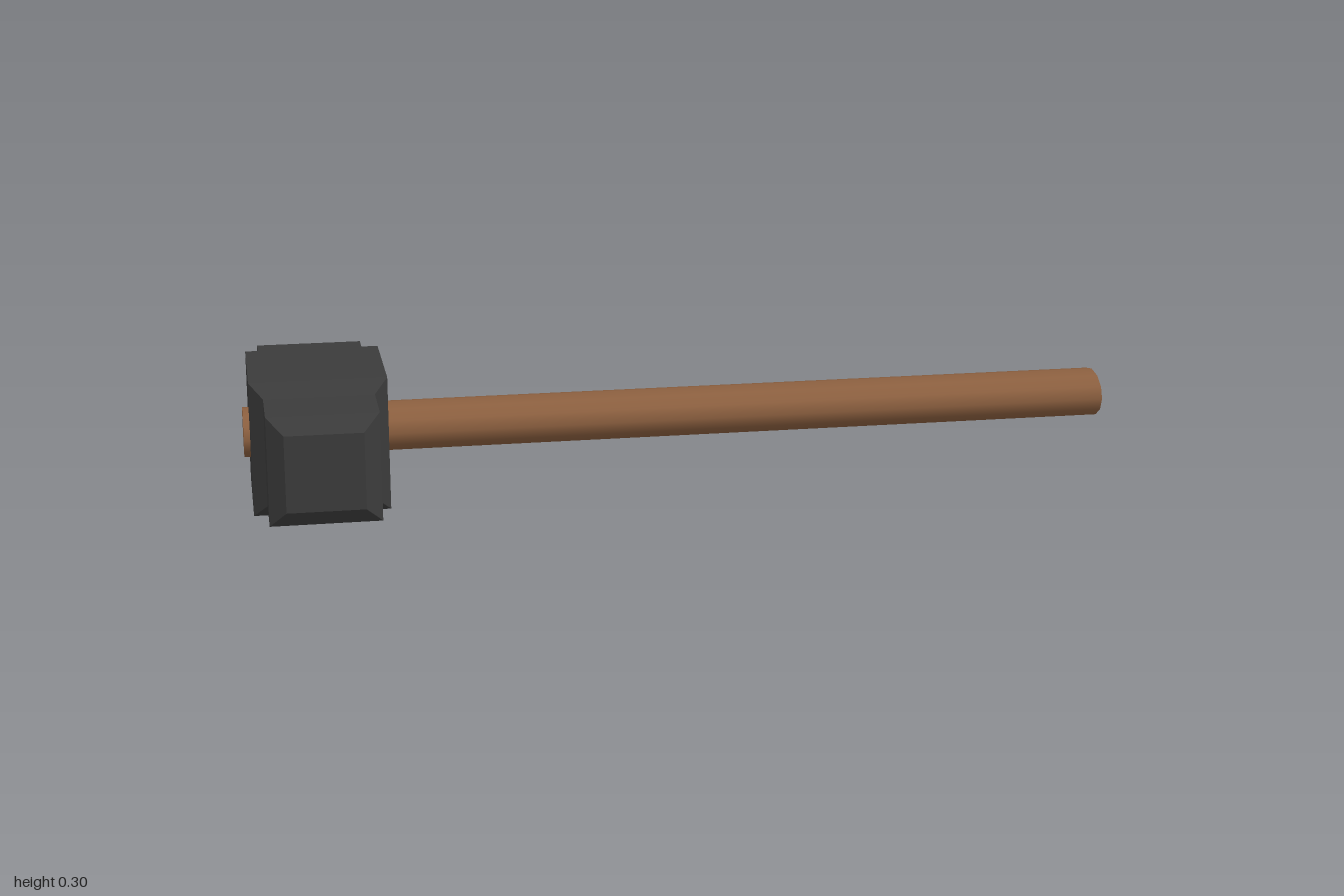
import * as THREE from 'three';

const HEAD_X = -0.835;
const AXIS_Y = 0.151;

// Square-section solid along z, from [half width, z] pairs
function squareSolid(profile) {
  const points = profile.map(([half, z]) => new THREE.Vector2(half * Math.SQRT2, z));
  const geometry = new THREE.LatheGeometry(points, 4, Math.PI / 4).rotateX(Math.PI / 2).toNonIndexed();
  geometry.computeVertexNormals(); // crisp flat faces
  return geometry;
}

export function createModel() {
  const iron = new THREE.MeshStandardMaterial({ color: 0x3b3b3b });
  iron.name = 'dark iron';
  const wood = new THREE.MeshStandardMaterial({ color: 0x8b5f3f });
  wood.name = 'brown wood';

  const model = new THREE.Group();
  model.name = 'sledgehammer';

  // Head: thick middle block, stepped down to two chamfered striking ends
  const half = [[0.151, 0.151], [0.121, 0.181], [0.121, 0.333], [0.085, 0.362], [0, 0.362]];
  const mirrored = half.map(([r, z]) => [r, -z]).reverse();
  const head = new THREE.Mesh(squareSolid([...mirrored, ...half]), iron);
  head.name = 'head';
  head.position.set(HEAD_X, AXIS_Y, 0);
  model.add(head);

  // Handle: oval shaft running through the head
  const shaft = new THREE.CylinderGeometry(1, 1, 2, 12).rotateZ(Math.PI / 2);
  shaft.scale(1, 0.055, 0.079);
  const handle = new THREE.Mesh(shaft, wood);
  handle.name = 'handle';
  handle.position.y = AXIS_Y + 0.001;
  model.add(handle);

  return model;
}
